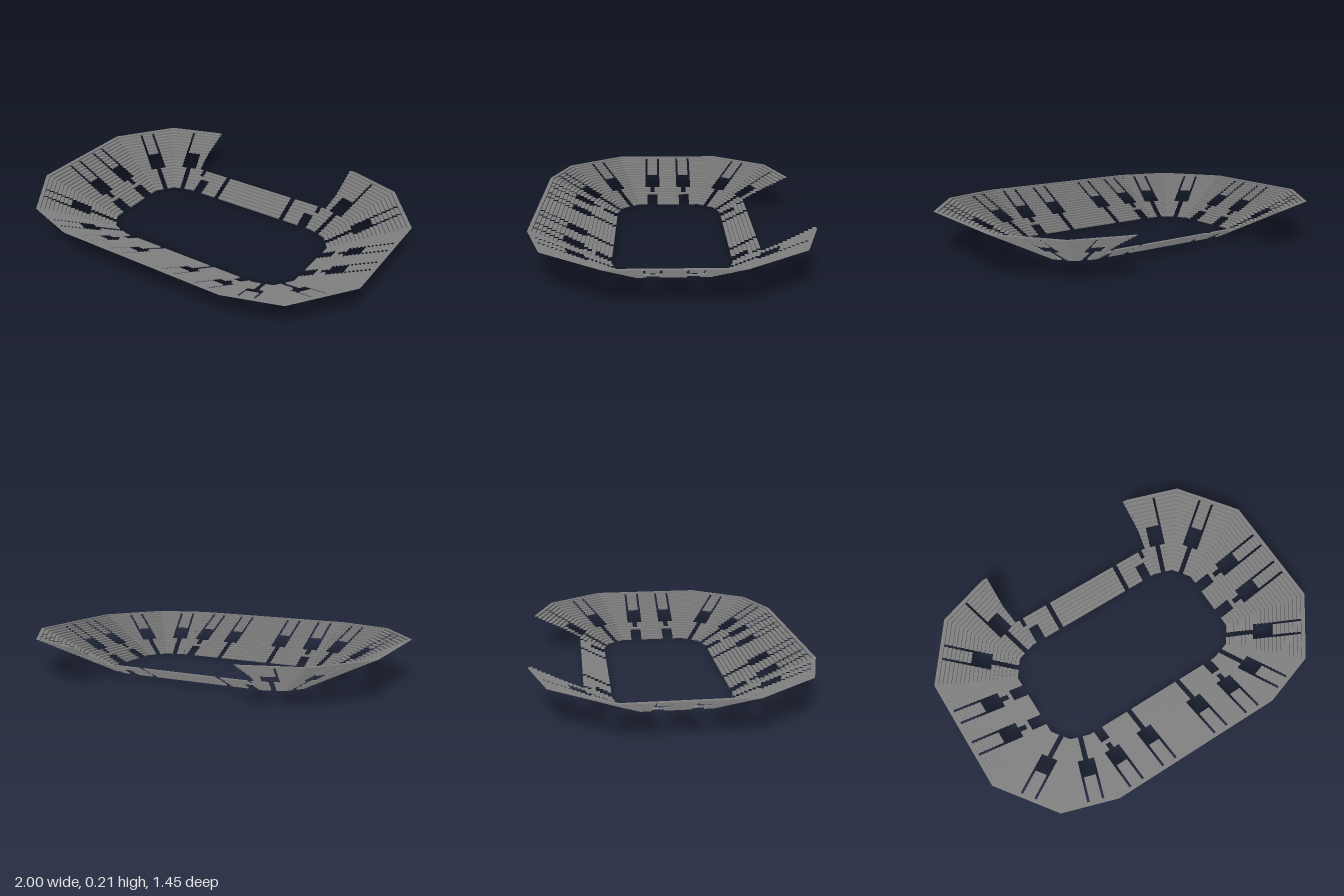
import * as THREE from 'three';

const ROWS = 20, DEPTH = 0.0205, RISE = 0.0105;
const T9 = Math.tan(Math.PI / 20), T18 = Math.tan(Math.PI / 10);

// Openings are [firstRow, lastRow, from, to], measured along the stand.
const aisle = (c) => [[0, 6, c - 0.0135, c + 0.0135]];
const tunnel = (c, half) => [
  [0, 3, c - half, c + half],
  [5, 6, c - 0.014, c + 0.014],
];
// Wide doorway with a narrow stair on either side of the seats above it
const doorway = (c, bothStairs = true) => [
  [7, 11, c - 0.045, c + 0.045],
  [12, 18, c + 0.032, c + 0.045],
  ...(bothStairs ? [[12, 18, c - 0.045, c - 0.032]] : []),
];
const bothSides = (gaps) => [...gaps, ...gaps.map(([a, b, l, r]) => [a, b, -r, -l])];

// One flat stand: stepped treads and risers between two mitred ends
function makeStand(name, material, o) {
  const a = THREE.MathUtils.degToRad(o.angle);
  const sx = o.sx ?? 1, sz = o.sz ?? 1;
  const n = [Math.sin(a), Math.cos(a)], t = [Math.cos(a), -Math.sin(a)];
  const pos = [];
  const point = (u, d, y) => [
    sx * (n[0] * (o.dist + d) + t[0] * u), y,
    sz * (n[1] * (o.dist + d) + t[1] * u),
  ];
  const quad = (p, q, r, s) => {
    if (sx * sz < 0) [q, s] = [s, q];
    pos.push(...p, ...q, ...r, ...p, ...r, ...s);
  };
  for (let k = 0; k < ROWS; k++) {
    const d0 = k * DEPTH, d1 = d0 + DEPTH, y0 = k * RISE, y1 = y0 + RISE;
    const ends = (d) => [o.left - d * o.tanL, o.right + d * o.tanR];
    const gaps = o.gaps.filter((g) => k >= g[0] && k <= g[1]).sort((p, q) => p[2] - q[2]);
    let from = -9;
    for (const g of [...gaps, [0, 0, 9, 9]]) {
      const span = (d) => {
        const [l, r] = ends(d), s = Math.max(from, l);
        return [s, Math.max(s, Math.min(g[2], r))];
      };
      const [l0, r0] = span(d0), [l1, r1] = span(d1);
      if (r0 > l0) quad(point(l0, d0, y0), point(l0, d0, y1), point(r0, d0, y1), point(r0, d0, y0));
      if (r0 > l0 || r1 > l1) quad(point(l0, d0, y1), point(l1, d1, y1), point(r1, d1, y1), point(r0, d0, y1));
      from = g[3];
    }
  }
  const geo = new THREE.BufferGeometry();
  geo.setAttribute('position', new THREE.Float32BufferAttribute(pos, 3));
  geo.computeVertexNormals();
  const mesh = new THREE.Mesh(geo, material);
  mesh.name = name;
  return mesh;
}

export function createModel() {
  const group = new THREE.Group();
  group.name = 'arenaSeating';
  const concrete = new THREE.MeshStandardMaterial({ color: 0x808080, side: THREE.DoubleSide });
  concrete.name = 'concrete';
  const add = (name, o) => group.add(makeStand(name, concrete, o));

  // Long stands: full at the front, only the lower tier at the back
  const long = { angle: 0, dist: 0.313, left: -0.417, right: 0.417, tanL: T9, tanR: T9 };
  add('frontStand', {
    ...long,
    gaps: bothSides([...tunnel(0.365, 0.026), ...doorway(0.365), ...aisle(0.162), ...doorway(0.162)]),
  });
  add('backStand', {
    ...long, sz: -1,
    gaps: [
      ...bothSides([[0, 6, 0.213, 0.24], [0, 3, 0.335, 0.392], [5, 6, 0.392, 0.414]]),
      [7, 19, -0.455, 0.455],
    ],
  });

  for (const sx of [1, -1]) {
    const side = sx > 0 ? 'left' : 'right';
    // End stand
    add(side + 'EndStand', {
      angle: 90, sx, dist: 0.59, left: -0.185, right: 0.185, tanL: T18, tanR: T18,
      gaps: bothSides([...tunnel(0.1, 0.032), ...doorway(0.1)]),
    });
    // Two angled stands in each corner
    for (const sz of [1, -1]) {
      const corner = side + (sz > 0 ? 'Front' : 'Back');
      add(corner + 'InnerCornerStand', {
        angle: 18, sx, sz, dist: 0.4266, left: 0.3, right: 0.41, tanL: T9, tanR: T18,
        gaps: [...aisle(0.355), ...doorway(0.355, sz > 0)],
      });
      add(corner + 'OuterCornerStand', {
        angle: 54, sx, sz, dist: 0.586, left: 0.0808, right: 0.1973, tanL: T18, tanR: T18,
        gaps: [...aisle(0.136), ...doorway(0.136)],
      });
    }
  }
  return group;
}
